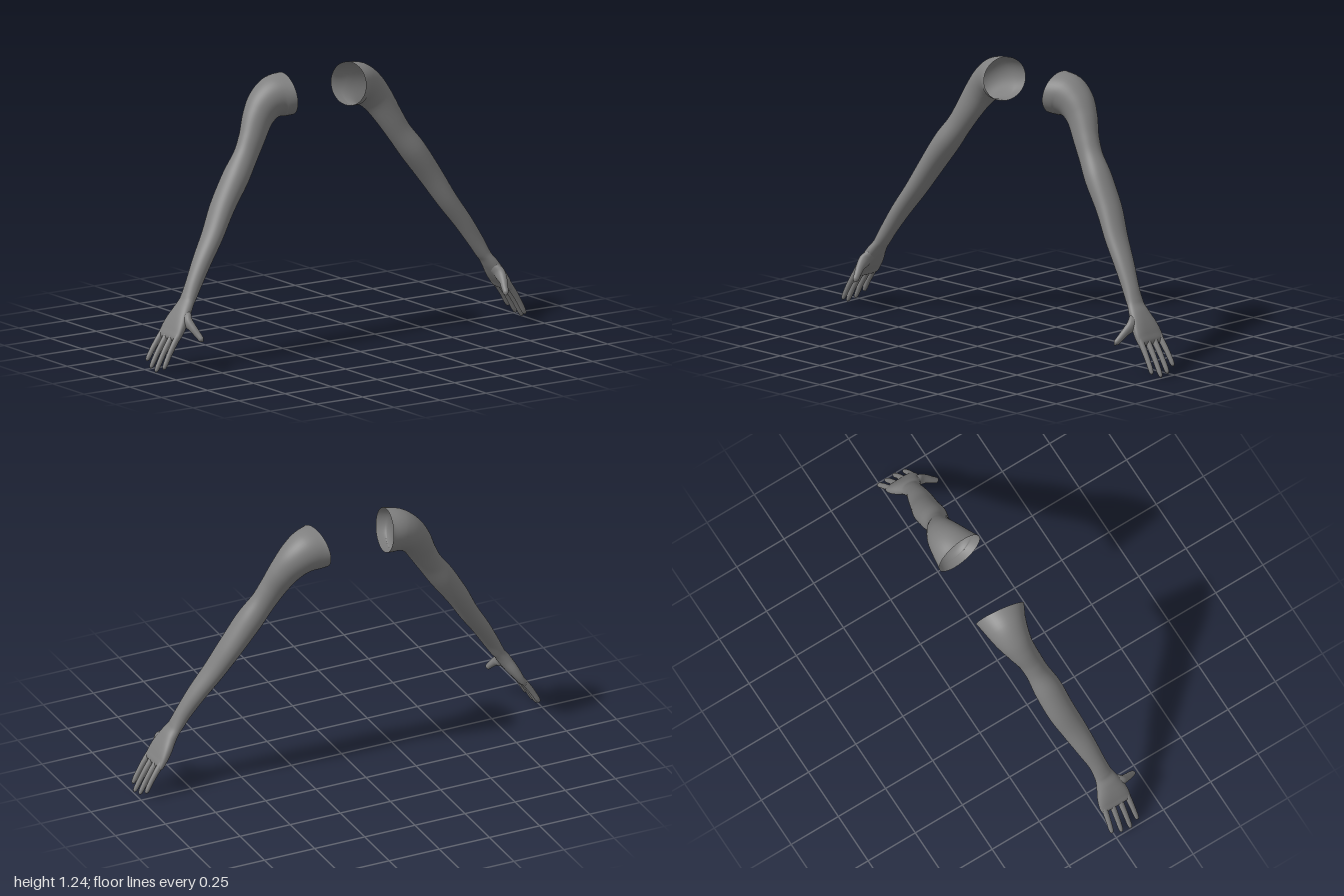
import * as THREE from 'three';

const V = (x, y, z) => new THREE.Vector3(x, y, z);

// Smooth loft through stations [x, y, z, halfThickness, halfWidth, squareness];
// the start is left open and the end is closed. side = -1 mirrors it in x.
function loft(stations, side, around, steps) {
  const path = new THREE.CatmullRomCurve3(stations.map(s => V(s[0], s[1], s[2])));
  const size = new THREE.CatmullRomCurve3(stations.map(s => V(s[3], s[4], s[5] ?? 1)));
  const rows = (stations.length - 1) * steps;
  const pos = [], index = [];
  const power = (c, p) => Math.sign(c) * Math.abs(c) ** p;
  for (let i = 0; i <= rows; i++) {
    const c = path.getPoint(i / rows), s = size.getPoint(i / rows);
    const t = path.getTangent(i / rows);
    const u = V(-t.y, t.x, 0).normalize();
    const v = t.clone().cross(u);
    for (let j = 0; j < around; j++) {
      const a = j / around * Math.PI * 2;
      const p = c.clone()
        .addScaledVector(u, power(Math.cos(a), s.z) * Math.max(s.x, 0.001))
        .addScaledVector(v, power(Math.sin(a), s.z) * Math.max(s.y, 0.001));
      pos.push(p.x * side, p.y, p.z);
    }
  }
  const face = (a, b, c) => side > 0 ? index.push(a, b, c) : index.push(a, c, b);
  for (let i = 0; i < rows; i++) {
    for (let j = 0; j < around; j++) {
      const k = (j + 1) % around, r = i * around, n = r + around;
      face(r + j, r + k, n + j);
      face(r + k, n + k, n + j);
    }
  }
  const end = path.getPoint(1);
  pos.push(end.x * side, end.y, end.z);
  const pole = pos.length / 3 - 1;
  for (let j = 0; j < around; j++) {
    face(rows * around + j, rows * around + (j + 1) % around, pole);
  }
  const g = new THREE.BufferGeometry();
  g.setAttribute('position', new THREE.Float32BufferAttribute(pos, 3));
  g.setIndex(index);
  g.computeVertexNormals();
  return g;
}

// Shoulder opening to upper arm, elbow, wrist and palm
const ARM = [
  [0.17, 1.148, -0.093, 0.098, 0.118],
  [0.225, 1.14, -0.1, 0.097, 0.1],
  [0.275, 1.113, -0.1, 0.085, 0.085],
  [0.322, 1.062, -0.09, 0.073, 0.069],
  [0.373, 0.975, -0.066, 0.062, 0.056],
  [0.415, 0.905, -0.052, 0.057, 0.054],
  [0.483, 0.81, -0.036, 0.059, 0.065],
  [0.565, 0.69, -0.02, 0.052, 0.064],
  [0.635, 0.575, 0.005, 0.045, 0.058],
  [0.71, 0.465, 0.028, 0.04, 0.049],
  [0.768, 0.37, 0.046, 0.035, 0.041],
  [0.802, 0.312, 0.053, 0.03, 0.043],
  [0.835, 0.265, 0.058, 0.029, 0.056, 0.9],
  [0.865, 0.218, 0.058, 0.027, 0.071, 0.75],
  [0.89, 0.178, 0.057, 0.021, 0.077, 0.65],
  [0.908, 0.148, 0.056, 0.014, 0.075, 0.6],
  [0.913, 0.14, 0.056, 0.004, 0.07, 0.6],
];

const THUMB = [
  [0.84, 0.25, 0.075, 0.022, 0.04],
  [0.848, 0.227, 0.115, 0.022, 0.033],
  [0.843, 0.203, 0.15, 0.018, 0.021],
  [0.833, 0.175, 0.178, 0.015, 0.016],
  [0.826, 0.155, 0.197, 0.012, 0.014],
  [0.822, 0.145, 0.206, 0.001, 0.001],
];

// Finger base z and tip position
const FINGERS = {
  indexFinger: [0.118, V(0.982, 0.022, 0.124)],
  middleFinger: [0.078, V(0.996, 0.003, 0.08)],
  ringFinger: [0.038, V(0.992, 0.012, 0.034)],
  littleFinger: [-0.001, V(0.982, 0.037, -0.011)],
};

function fingerStations(z, tip) {
  const base = V(0.89, 0.178, z);
  const radii = [[0, 0.015], [0.3, 0.014], [0.6, 0.0125], [0.85, 0.0115], [0.95, 0.009], [1, 0.001]];
  return radii.map(([t, r]) => {
    const p = base.clone().lerp(tip, t);
    const bow = Math.sin(t * Math.PI) * 0.005;
    return [p.x + bow * 0.85, p.y + bow * 0.5, p.z, r, r * 0.95];
  });
}

export function createModel() {
  const model = new THREE.Group();
  const skin = new THREE.MeshStandardMaterial({ color: 0x808080, side: THREE.DoubleSide });
  skin.name = 'grey skin';

  for (const [side, label] of [[1, 'left'], [-1, 'right']]) {
    const arm = new THREE.Group();
    arm.name = label + 'Arm';
    const add = (name, stations, around, steps) => {
      const mesh = new THREE.Mesh(loft(stations, side, around, steps), skin);
      mesh.name = name;
      arm.add(mesh);
    };
    add('armAndPalm', ARM, 48, 6);
    add('thumb', THUMB, 24, 5);
    for (const [name, [z, tip]] of Object.entries(FINGERS)) {
      add(name, fingerStations(z, tip), 20, 4);
    }
    model.add(arm);
  }
  return model;
}
